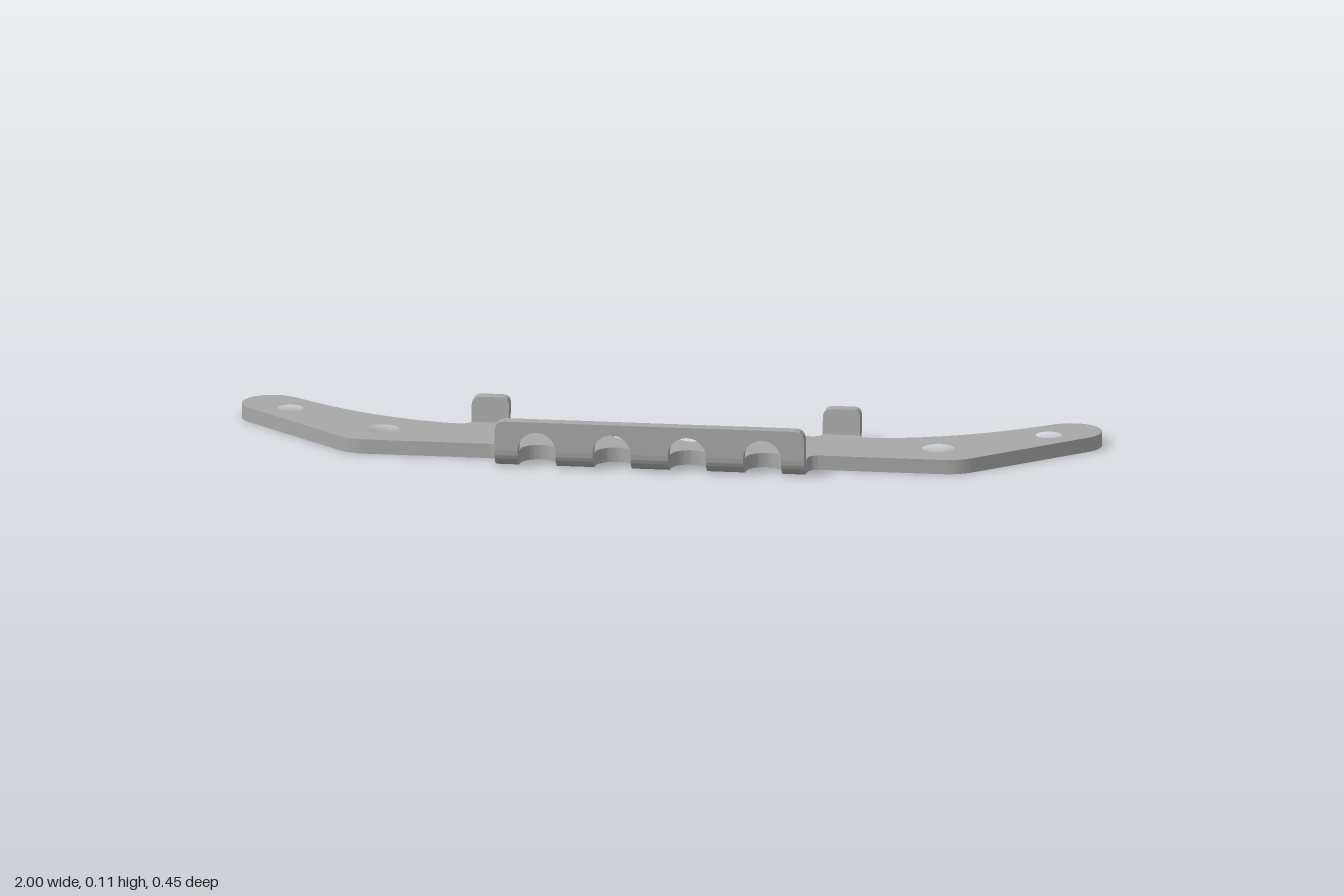
import * as THREE from 'three';
import { toCreasedNormals } from 'three/addons/utils/BufferGeometryUtils.js';

const T = 0.034;              // sheet thickness
const FLANGE_X = 0.36;        // half width of the front flange
const SLOT_R = 0.044;
const SLOTS = [0.2625, 0.0875];

const extrude = (shape, depth) =>
  new THREE.ExtrudeGeometry(shape, { depth, bevelEnabled: false, curveSegments: 16 });

// Closed shape from a half path running from x = 0 to x = 0
function mirrored(half) {
  const right = half.getPoints(16);
  const left = right.slice(1, -1).reverse().map(p => new THREE.Vector2(-p.x, p.y));
  return new THREE.Shape([...right, ...left]);
}

// Side profile drawn in (-z, y), swept from x0 to x1
function sweepX(profile, x0, x1) {
  return extrude(profile, x1 - x0).rotateY(Math.PI / 2).translate(x0, 0, 0);
}

// Flat plate outline, drawn in (x, -z)
function plateShape() {
  const p = new THREE.Path();
  p.moveTo(0, 0.027);
  p.lineTo(0.017, 0.027);
  p.quadraticCurveTo(0.035, 0.027, 0.035, 0.009);
  p.lineTo(0.035, -0.018);
  p.absarc(0.075, -0.018, 0.04, Math.PI, 2 * Math.PI, false);
  p.lineTo(0.115, 0.01);
  p.quadraticCurveTo(0.115, 0.027, 0.132, 0.027);
  p.lineTo(0.34, 0.027);
  p.quadraticCurveTo(0.365, 0.027, 0.365, 0.05);
  p.lineTo(0.452, 0.05);
  p.quadraticCurveTo(0.455, 0.028, 0.49, 0.031);
  p.bezierCurveTo(0.64, 0.05, 0.77, 0.12, 0.886, 0.215);
  p.absarc(0.929, 0.156, 0.071, 2.19, -0.8, true);
  p.lineTo(0.74, -0.115);
  p.quadraticCurveTo(0.71, -0.143, 0.67, -0.143);
  p.lineTo(0.39, -0.143);
  p.quadraticCurveTo(FLANGE_X, -0.143, FLANGE_X, -0.17);
  p.lineTo(FLANGE_X, -0.185);
  for (const cx of SLOTS) {
    p.lineTo(cx + SLOT_R, -0.185);
    p.absarc(cx, -0.18, SLOT_R, 0, Math.PI, false);
    p.lineTo(cx - SLOT_R, -0.185);
  }
  p.lineTo(0, -0.185);
  const shape = mirrored(p);
  for (const s of [-1, 1]) {
    for (const [x, v, r] of [[0.882, 0.115, 0.03], [0.647, -0.04, 0.038]]) {
      shape.holes.push(new THREE.Path().absarc(s * x, v, r, 0, 2 * Math.PI, true));
    }
  }
  return shape;
}

// Upright flange with arches along its lower edge, drawn in (x, y)
function flangeShape() {
  const p = new THREE.Path();
  p.moveTo(0, 0.11);
  p.lineTo(FLANGE_X - 0.025, 0.11);
  p.quadraticCurveTo(FLANGE_X, 0.11, FLANGE_X, 0.085);
  p.lineTo(FLANGE_X, 0.042);
  for (const cx of SLOTS) {
    p.lineTo(cx + SLOT_R, 0.042);
    p.absarc(cx, 0.042, SLOT_R, 0, Math.PI, false);
  }
  p.lineTo(0, 0.042);
  return mirrored(p);
}

export function createModel() {
  const group = new THREE.Group();
  const steel = new THREE.MeshStandardMaterial({ color: 0xa8a8a8 });
  steel.name = 'grey steel';
  const add = (name, geometry) => {
    const mesh = new THREE.Mesh(toCreasedNormals(geometry, 0.6), steel);
    mesh.name = name;
    group.add(mesh);
  };

  add('plate', extrude(plateShape(), T).rotateX(-Math.PI / 2));
  add('frontFlange', extrude(flangeShape(), 0.032).translate(0, 0, 0.193));

  // Rounded bend strips between the slots
  const bend = new THREE.Shape();
  bend.moveTo(-0.185, 0);
  bend.absarc(-0.185, 0.04, 0.04, -Math.PI / 2, -Math.PI, true);
  bend.lineTo(-0.225, 0.042);
  bend.lineTo(-0.193, 0.042);
  bend.lineTo(-0.193, T);
  bend.lineTo(-0.185, T);
  const centres = [-SLOTS[0], -SLOTS[1], SLOTS[1], SLOTS[0]];
  const starts = [-FLANGE_X, ...centres.map(c => c + SLOT_R)];
  const ends = [...centres.map(c => c - SLOT_R), FLANGE_X];
  starts.forEach((x0, i) => add('flangeBend' + (i + 1), sweepX(bend, x0, ends[i])));

  // Leaning rear tabs with their bends
  const tabBend = new THREE.Shape();
  tabBend.moveTo(0.049, 0);
  tabBend.quadraticCurveTo(0.076, 0, 0.081, T);
  tabBend.lineTo(0.049, T);
  const w = 0.0435, top = 0.092, r = 0.02;
  const tab = new THREE.Shape();
  tab.moveTo(-w, T);
  tab.lineTo(w, T);
  tab.lineTo(w, top - r);
  tab.quadraticCurveTo(w, top, w - r, top);
  tab.lineTo(-w + r, top);
  tab.quadraticCurveTo(-w, top, -w, top - r);
  const shear = new THREE.Matrix4().set(
    1, 0, 0, 0,
    0, 1, 0, 0,
    0, -0.13, 1, 0.13 * T,
    0, 0, 0, 1);
  for (const [side, s] of [['left', 1], ['right', -1]]) {
    const x = s * 0.4085;
    add(side + 'TabBend', sweepX(tabBend, x - w, x + w));
    add(side + 'Tab', extrude(tab, 0.031).translate(x, 0, -0.081).applyMatrix4(shear));
  }
  return group;
}
